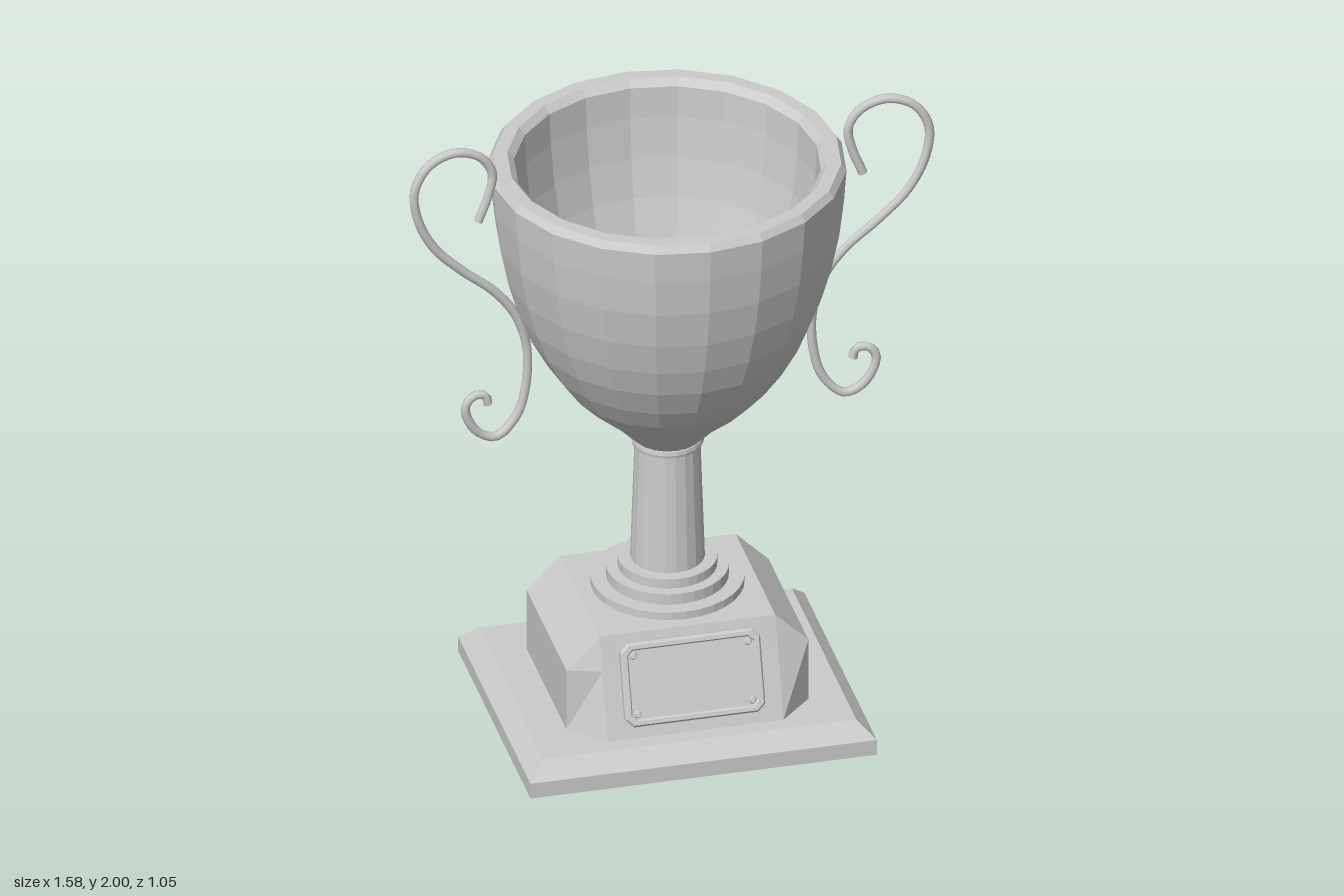
import * as THREE from 'three';

const flat = new THREE.MeshStandardMaterial({ color: 0xcccccc, flatShading: true });
const smooth = new THREE.MeshStandardMaterial({ color: 0xcccccc });

function mesh(name, geometry, material = flat) {
  const m = new THREE.Mesh(geometry, material);
  m.name = name;
  return m;
}

// Closed solid through stacked rings of [x, y, z], counter-clockwise seen from above
function loft(rings) {
  const n = rings[0].length, last = (rings.length - 1) * n, index = [];
  for (let r = 0; r < rings.length - 1; r++) {
    for (let i = 0; i < n; i++) {
      const a = r * n + i, b = r * n + (i + 1) % n;
      index.push(a, b, b + n, a, b + n, a + n);
    }
  }
  for (let i = 1; i < n - 1; i++) {
    index.push(0, i + 1, i);
    index.push(last, last + i, last + i + 1);
  }
  const g = new THREE.BufferGeometry();
  g.setAttribute('position', new THREE.Float32BufferAttribute(rings.flat(2), 3));
  g.setIndex(index);
  g.computeVertexNormals();
  return g;
}

const rectRing = (x, y, z) => [[x, y, z], [x, y, -z], [-x, y, -z], [-x, y, z]];

// Eight-cornered ring; the front edge has its own depth so that face can lean back
const blockRing = (y, side, inner, depth, back, front) => [
  [side, y, depth], [side, y, -depth], [inner, y, -back], [-inner, y, -back],
  [-side, y, -depth], [-side, y, depth], [-inner, y, front], [inner, y, front],
];

function lathe(profile, sides) {
  return new THREE.LatheGeometry(profile.map(([r, y]) => new THREE.Vector2(r, y)), sides);
}

// Rectangle with clipped corners
function clippedRect(Type, w, h, c) {
  return new Type([
    [w, -h + c], [w, h - c], [w - c, h], [-w + c, h],
    [-w, h - c], [-w, -h + c], [-w + c, -h], [w - c, -h],
  ].map(([x, y]) => new THREE.Vector2(x, y)));
}

// Name plate: backing panel, raised frame and four screws, leaning with the block
function createPlate() {
  const plate = new THREE.Group();
  plate.name = 'plate';
  plate.add(mesh('platePanel', new THREE.ExtrudeGeometry(
    clippedRect(THREE.Shape, 0.2, 0.115, 0.02), { depth: 0.02, bevelEnabled: false })));

  const frame = clippedRect(THREE.Shape, 0.205, 0.12, 0.02);
  frame.holes.push(clippedRect(THREE.Path, 0.193, 0.108, 0.018));
  plate.add(mesh('plateFrame', new THREE.ExtrudeGeometry(frame, {
    depth: 0.018, bevelThickness: 0.008, bevelSize: 0.006, bevelSegments: 1,
  })));

  const screw = new THREE.CylinderGeometry(0.008, 0.012, 0.008, 10).rotateX(Math.PI / 2);
  for (const x of [-1, 1]) {
    for (const y of [-1, 1]) {
      const s = mesh('plateScrew', screw);
      s.position.set(x * 0.173, y * 0.088, 0.023);
      plate.add(s);
    }
  }
  plate.position.set(0, 0.255, 0.288);
  plate.rotation.x = -Math.atan(1 / 3);
  return plate;
}

// Scrolled handle, swung slightly forward towards its outer side
function createHandle(side) {
  const path = [
    [0.58, 1.74], [0.548, 1.825], [0.537, 1.895], [0.572, 1.955], [0.65, 1.985],
    [0.73, 1.957], [0.775, 1.88], [0.765, 1.778], [0.714, 1.672], [0.63, 1.582],
    [0.53, 1.492], [0.466, 1.402], [0.431, 1.286], [0.434, 1.153], [0.463, 1.058],
    [0.524, 1.0], [0.577, 1.021], [0.614, 1.079], [0.618, 1.122], [0.592, 1.15],
    [0.558, 1.145], [0.55, 1.115],
  ].map(([x, y]) => new THREE.Vector3(side * x, y, 0.03 + (x - 0.5) * 0.08));
  const curve = new THREE.CatmullRomCurve3(path);
  const handle = new THREE.Group();
  handle.name = side > 0 ? 'leftHandle' : 'rightHandle';
  handle.add(mesh('handleRod', new THREE.TubeGeometry(curve, 90, 0.014, 8), smooth));
  // Flat caps over both ends of the rod
  for (const t of [0, 1]) {
    const cap = mesh('handleCap', new THREE.CircleGeometry(0.014, 8));
    const end = curve.getPoint(t);
    cap.position.copy(end);
    cap.lookAt(end.clone().addScaledVector(curve.getTangent(t), t ? 1 : -1));
    handle.add(cap);
  }
  return handle;
}

export function createModel() {
  const trophy = new THREE.Group();
  trophy.name = 'trophy';

  // Bevelled plinth
  trophy.add(mesh('plinth', loft([
    rectRing(0.522, 0, 0.437), rectRing(0.522, 0.05, 0.437), rectRing(0.472, 0.1, 0.39),
  ])));

  // Block with clipped corners, sloping shoulders and a leaning front
  trophy.add(mesh('block', loft([
    blockRing(0.1, 0.365, 0.265, 0.24, 0.34, 0.34),
    blockRing(0.3, 0.365, 0.265, 0.24, 0.34, 0.273),
    blockRing(0.4, 0.265, 0.265, 0.24, 0.24, 0.24),
  ])));
  trophy.add(createPlate());

  // Stepped foot
  trophy.add(mesh('foot', lathe([
    [0, 0.415], [0.226, 0.415], [0.226, 0.44], [0.18, 0.44], [0.18, 0.475],
    [0.146, 0.475], [0.146, 0.505], [0, 0.505],
  ], 32)));

  // Tapered stem and its collar
  trophy.add(mesh('stem', lathe([
    [0.11, 0.5], [0.097, 0.89], [0.105, 0.892], [0.107, 0.9], [0.105, 0.913], [0.09, 0.918],
  ], 20)));

  // Cup: outer wall, rim and hollow bowl
  trophy.add(mesh('cup', lathe([
    [0, 0.91], [0.1, 0.912], [0.17, 0.985], [0.24, 1.045], [0.302, 1.11], [0.358, 1.19],
    [0.41, 1.285], [0.448, 1.38], [0.48, 1.49], [0.504, 1.61], [0.518, 1.73],
    [0.525, 1.83], [0.51, 1.852], [0.47, 1.852], [0.45, 1.83], [0.446, 1.73],
    [0.432, 1.6], [0.41, 1.48], [0.378, 1.36], [0.32, 1.23], [0.26, 1.14],
    [0.2, 1.07], [0.135, 1.02], [0.07, 0.985], [0, 0.98],
  ], 20)));

  trophy.add(createHandle(1), createHandle(-1));
  return trophy;
}
